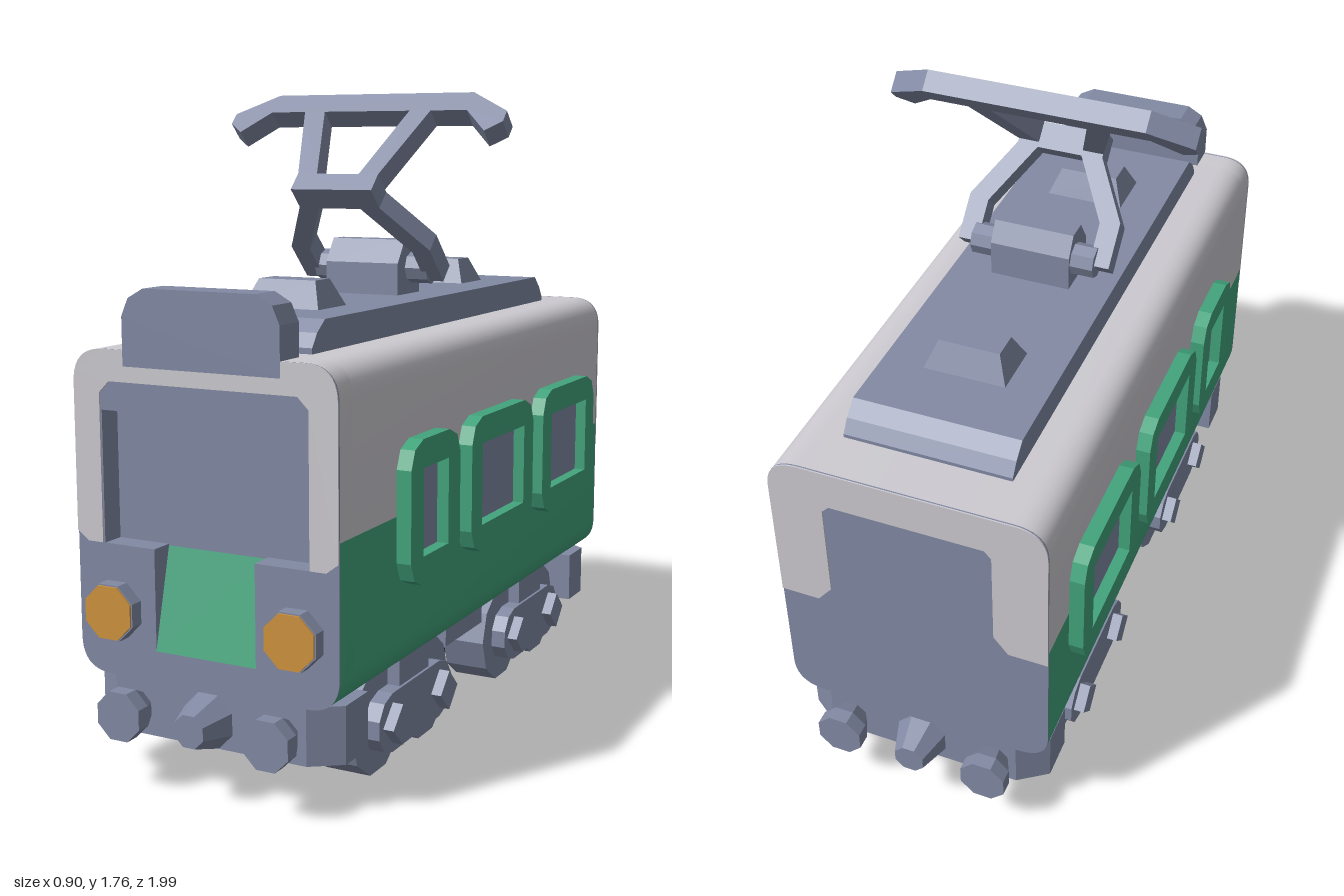
import * as THREE from 'three';
import { toCreasedNormals } from 'three/addons/utils/BufferGeometryUtils.js';

const mat = (name, color) => new THREE.MeshStandardMaterial({ name, color });

export function createModel() {
  const grey = mat('slate grey', 0x828aa4), white = mat('off white', 0xcdcbd1);
  const green = mat('green', 0x42a47c), orange = mat('lamp orange', 0xd0943f), dark = mat('dark axle', 0x303034);
  const model = new THREE.Group();
  model.name = 'tram';

  const add = (name, geo, material, x = 0, y = 0, z = 0, parent = model) => {
    const m = new THREE.Mesh(geo, material);
    m.name = name;
    m.position.set(x, y, z);
    parent.add(m);
    return m;
  };
  const poly = (pts) => new THREE.Shape(pts.map(([x, y]) => new THREE.Vector2(x, y)));
  const mirrored = (pts) => [...pts, ...pts.map(([x, y]) => [-x, y]).reverse()];
  const extrude = (shape, depth) =>
    new THREE.ExtrudeGeometry(shape, { depth, bevelEnabled: false, curveSegments: 10 });
  // Side profile given as [z, y], extruded along x and centred
  const across = (shape, width) => extrude(shape, width).translate(0, 0, -width / 2).rotateY(-Math.PI / 2).scale(1, 1, 1);
  const box = (w, h, d) => new THREE.BoxGeometry(w, h, d);
  // Prism or cone along z, front radius first
  const alongZ = (rf, rb, d, n = 8) => new THREE.CylinderGeometry(rf, rb, d, n).rotateY(Math.PI / n)
    .rotateX(Math.PI / 2).toNonIndexed();
  const flat = (g) => { g.computeVertexNormals(); return g; };
  const alongX = (r, w, n) => flat(new THREE.CylinderGeometry(r, r, w, n).toNonIndexed().rotateZ(Math.PI / 2));

  // ---- Body shell ----
  const W = 0.378, TOP = 1.12, BOT = 0.28, SPLIT = 0.7, R = 0.09;
  const BACK = -0.907, MID = 0.84, FRONT = 0.906;
  const half = (edge, end, notch) => {
    const s = new THREE.Shape(), k = Math.sign(end - edge) * R;
    s.moveTo(-W, edge);
    notch.forEach(([x, y]) => s.lineTo(x, y));
    s.lineTo(W, edge);
    s.lineTo(W, end - k);
    s.quadraticCurveTo(W, end, W - R, end);
    s.lineTo(R - W, end);
    s.quadraticCurveTo(-W, end, -W, end - k);
    return s;
  };
  const smooth = (g) => toCreasedNormals(g, 0.5);
  const notchUp = [[-0.3, SPLIT], [-0.3, 0.97], [0.3, 0.97], [0.3, SPLIT]];
  const notchDown = [[-0.3, SPLIT], [-0.3, 0.62], [-0.15, 0.62], [-0.15, 0.36],
    [0.15, 0.36], [0.15, 0.62], [0.3, 0.62], [0.3, SPLIT]];
  [['upperBody', TOP, white, notchUp], ['lowerBody', BOT, green, notchDown]].forEach(([name, end, m, notch]) => {
    add(name, smooth(extrude(half(SPLIT, end, []), MID - BACK)), m, 0, 0, BACK);
    add(name + 'Front', smooth(extrude(half(SPLIT, end, notch), FRONT - MID)), m, 0, 0, MID);
  });

  // ---- End faces ----
  const opening = (d) => mirrored([[0.15 - d, 0.36 + d], [0.15 - d, 0.62 + d], [0.3 - d, 0.62 + d], [0.3 - d, 0.97 - d]]);
  const outline = () => {
    const s = new THREE.Shape();
    s.moveTo(W, BOT + R);
    s.lineTo(W, TOP - R);
    s.quadraticCurveTo(W, TOP, W - R, TOP);
    s.lineTo(R - W, TOP);
    s.quadraticCurveTo(-W, TOP, -W, TOP - R);
    s.lineTo(-W, BOT + R);
    s.quadraticCurveTo(-W, BOT, R - W, BOT);
    s.lineTo(W - R, BOT);
    s.quadraticCurveTo(W, BOT, W, BOT + R);
    return s;
  };
  const facePlate = outline();
  facePlate.holes.push(poly(opening(0.004)));
  add('frontFace', extrude(facePlate, 0.004), grey, 0, 0, FRONT);
  add('backFace', extrude(outline(), 0.004), grey, 0, 0, BACK - 0.004);
  const liner = poly(opening(0));
  liner.holes.push(poly(opening(0.004)));
  add('windscreenRecess', extrude(liner, FRONT - MID), grey, 0, 0, MID);
  add('windscreen', box(0.6, 0.35, 0.006), grey, 0, 0.795, MID + 0.003);
  // white surround of an end, with its inner edge given from the side inwards
  const surround = (inner) => {
    const s = new THREE.Shape();
    s.moveTo(...inner[0]);
    s.lineTo(W, TOP - R);
    s.quadraticCurveTo(W, TOP, W - R, TOP);
    s.lineTo(R - W, TOP);
    s.quadraticCurveTo(-W, TOP, -W, TOP - R);
    inner.forEach(([x, y]) => s.lineTo(-x, y));
    [...inner].reverse().forEach(([x, y]) => s.lineTo(x, y));
    return s;
  };
  add('frontSurround', extrude(surround([[W, 0.65], [0.345, 0.625], [0.3, 0.625], [0.3, 1.01], [0.27, 1.04]]), 0.004),
    white, 0, 0, FRONT + 0.004);
  add('backSurround', extrude(surround([[W, 0.66], [0.27, 0.66], [0.23, 0.71], [0.23, 0.99], [0.21, 1.01]]), 0.004),
    white, 0, 0, BACK - 0.008);
  // sloping centre panel under the windscreen
  add('frontPanel', across(poly([[MID, 0.36], [0.911, 0.36], [MID + 0.006, 0.62], [MID, 0.62]]), 0.294), green);

  // ---- Headlamps ----
  for (const s of [-1, 1]) {
    add('headlampHousing', flat(alongZ(0.078, 0.078, 0.05)), grey, s * 0.263, 0.455, 0.923);
    add('headlamp', flat(alongZ(0.074, 0.074, 0.008)), orange, s * 0.263, 0.455, 0.949);
  }

  // ---- Side windows: [centre z, frame half width, glass half width] ----
  const rounded = (w, h, c) => poly([[w, h - c], [w - c * 0.3, h - c * 0.3], [w - c, h], [c - w, h], [c * 0.3 - w, h - c * 0.3],
    [-w, h - c], [-w, c - h], [c * 0.3 - w, c * 0.3 - h], [c - w, -h], [w - c, -h], [w - c * 0.3, c * 0.3 - h], [w, c - h]]);
  for (const [z, fw, gw] of [[0.458, 0.15, 0.076], [0.003, 0.226, 0.154], [-0.533, 0.228, 0.154]]) {
    for (const s of [-1, 1]) {
      const frame = rounded(fw, 0.19, 0.07);
      frame.holes.push(poly([[gw, 0.115], [-gw, 0.115], [-gw, -0.115], [gw, -0.115]]));
      add('windowFrame', across(frame, 0.05), green, s * 0.394, 0.7, z);
      add('windowGlass', box(0.008, 0.23, gw * 2), grey, s * 0.382, 0.695, z);
    }
  }

  // ---- Roof equipment ----
  add('roofUnit', across(poly([[-0.77, 1.1], [0.77, 1.1], [0.77, 1.135], [0.745, 1.17], [0.705, 1.2],
    [-0.705, 1.2], [-0.745, 1.165], [-0.77, 1.13]]), 0.46), grey);
  for (const z of [-0.455, 0.455]) {
    const vent = box(0.23, 0.075, 0.155), p = vent.attributes.position;
    for (let i = 0; i < p.count; i++) if (p.getY(i) > 0) p.setXYZ(i, p.getX(i) * 0.74, p.getY(i), p.getZ(i) * 0.5);
    add('roofVent', flat(vent.toNonIndexed()), grey, 0, 1.235, z);
  }
  add('destinationBox', extrude(poly(mirrored([[0.225, 1.08], [0.225, 1.205], [0.205, 1.25], [0.16, 1.275]])), 0.09),
    grey, 0, 0, 0.825);

  // ---- Pantograph ----
  add('pantographBase', across(poly([[-0.07, 1.18], [0.07, 1.18], [0.07, 1.29], [0.025, 1.355],
    [-0.035, 1.355], [-0.07, 1.3]]), 0.23), grey);
  add('pantographAxle', alongX(0.045, 0.36, 8), grey, 0, 1.275, -0.02);
  const T = 0.06;
  const upper = poly(mirrored([[0.125, 0], [0.125, 0.06], [0.2, 0.305], [0.31, 0.305], [0.385, 0.225], [0.43, 0.26],
    [0.43, 0.3], [0.31, 0.375]]));
  upper.holes.push(poly(mirrored([[0.065, 0.06], [0.135, 0.305]])));
  add('pantographUpperArm', extrude(upper, T).translate(0, 0, -T), grey, 0, 1.5, 0.255).rotation.x = -Math.PI / 4;
  const lower = poly(mirrored([[0.125, 0], [0.125, -0.07], [0.222, -0.24], [0.222, -0.37], [0.165, -0.37],
    [0.165, -0.25], [0.065, -0.075]]));
  add('pantographLowerArm', extrude(lower, T).translate(0, 0, -T), grey, 0, 1.5, 0.255).rotation.x = Math.PI / 4;

  // ---- Bogies ----
  const stadium = (hl, r, n = 5) => {
    const pts = [];
    for (const s of [1, -1]) for (let i = 0; i <= n; i++) {
      const a = -Math.PI / 2 + (i / n) * Math.PI;
      pts.push([s * (hl + r * Math.cos(a)), s * r * Math.sin(a)]);
    }
    return poly(pts);
  };
  for (const bz of [-0.42, 0.42]) {
    const bogie = new THREE.Group();
    bogie.name = 'bogie';
    bogie.position.z = bz;
    model.add(bogie);
    add('axleDrum', smooth(across(stadium(0.145, 0.095, 12), 0.36)), dark, 0, 0.145, 0, bogie);
    for (const s of [-1, 1]) {
      add('bogieFrame', across(stadium(0.145, 0.08), 0.045), grey, s * 0.325, 0.14, 0, bogie);
      add('bogieBracket', box(0.14, 0.12, 0.18), grey, s * 0.27, 0.24, 0, bogie);
      for (const w of [-0.145, 0.145]) {
        add('wheel', alongX(0.146, 0.13, 10), grey, s * 0.24, 0.142, w, bogie);
        add('wheelHub', alongX(0.055, 0.035, 4), grey, s * 0.36, 0.14, w, bogie);
      }
    }
  }
  add('underfloorBox', extrude(poly(mirrored([[0.3, 0.285], [0.3, 0.21], [0.2, 0.13]])), 0.26), grey, 0, 0, -0.13);

  // ---- Bumpers and buffers at both ends ----
  for (const s of [1, -1]) {
    const end = new THREE.Group();
    end.name = s > 0 ? 'frontBumper' : 'backBumper';
    end.rotation.y = s > 0 ? 0 : Math.PI;
    model.add(end);
    const plan = poly(mirrored([[0.36, 0.73], [0.36, 0.845], [0.28, 0.9]]).concat(
      mirrored([[-0.29, 0.73], [-0.29, 0.8], [-0.25, 0.83]])));
    add('bumperBeam', extrude(plan, 0.15).rotateX(Math.PI / 2), grey, 0, 0.28, 0, end);
    add('coupler', flat(alongZ(0.045, 0.075, 0.09)), grey, 0, 0.2, 0.945, end);
    for (const x of [-0.215, 0.215]) {
      add('bufferStem', flat(alongZ(0.068, 0.042, 0.05)), grey, x, 0.2, 0.92, end);
      add('bufferHead', flat(alongZ(0.068, 0.068, 0.04)), grey, x, 0.2, 0.965, end);
    }
  }

  // slight turn of the whole vehicle
  model.rotation.y = 0.047;
  const root = new THREE.Group();
  root.name = 'tramModel';
  root.add(model);
  return root;
}
